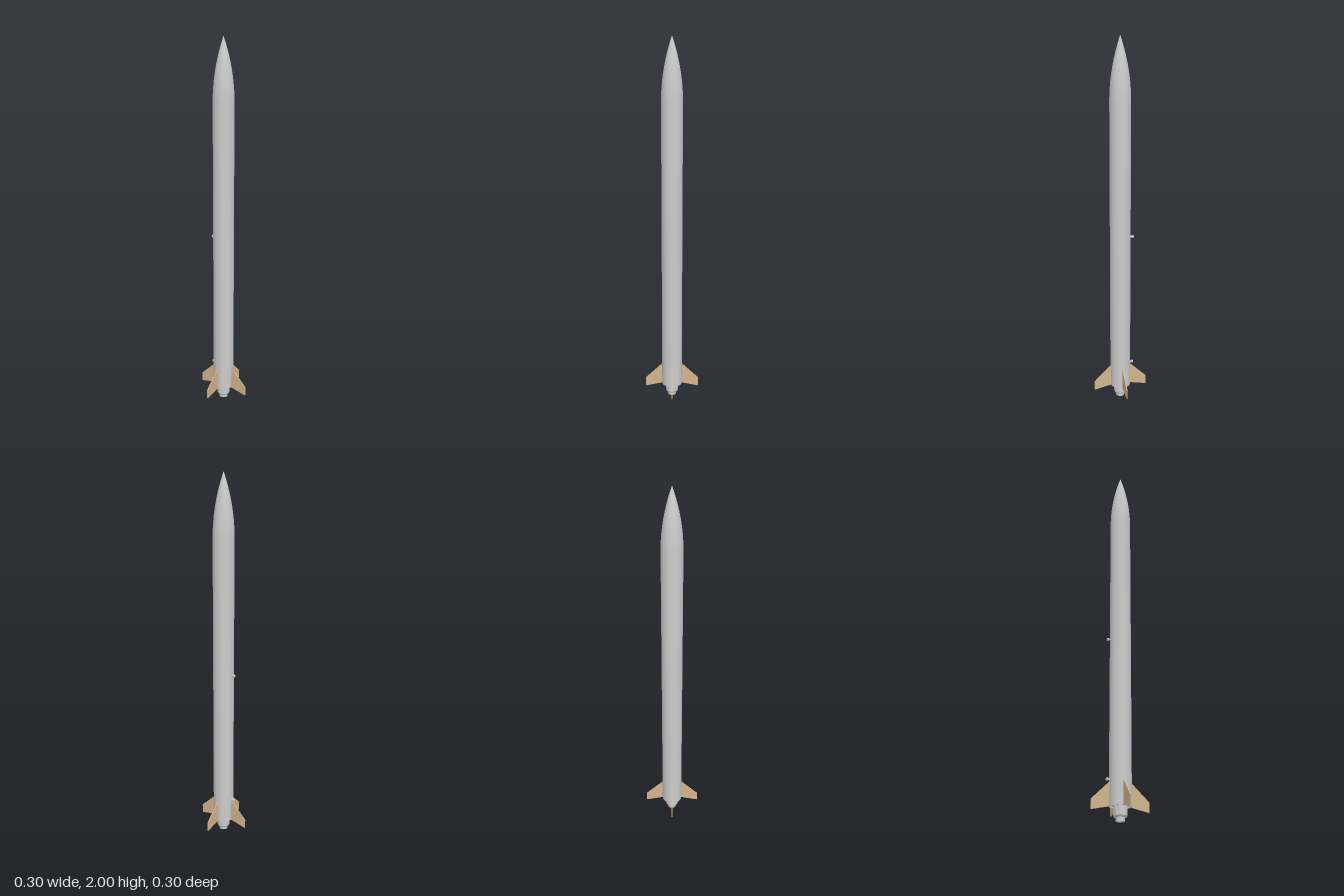
import * as THREE from 'three';
import { toCreasedNormals } from 'three/addons/utils/BufferGeometryUtils.js';

const grey = new THREE.MeshStandardMaterial({ color: 0xcccccc });
const wood = new THREE.MeshStandardMaterial({ color: 0xd2b48c });

const R = 0.056; // body radius
const BASE = 0.07; // aft end of the body tube
const SHOULDER = 1.67; // where the nose begins

// Surface of revolution about y, with hard edges kept sharp
function turned(name, points, segments = 48) {
  const profile = points.map(([r, y]) => new THREE.Vector2(r, y));
  const geometry = toCreasedNormals(new THREE.LatheGeometry(profile, segments), 0.5);
  const mesh = new THREE.Mesh(geometry, grey);
  mesh.name = name;
  return mesh;
}

// Tangent ogive from the shoulder to the tip
function ogive(steps = 20) {
  const length = 2 - SHOULDER;
  const rho = (R * R + length * length) / (2 * R);
  return Array.from({ length: steps + 1 }, (_, i) => {
    const h = (length * i) / steps;
    return [Math.max(0, Math.sqrt(rho * rho - h * h) + R - rho), SHOULDER + h];
  });
}

export function createModel() {
  const rocket = new THREE.Group();
  rocket.name = 'rocket';

  // Body tube with a recessed aft closure
  rocket.add(turned('bodyTube', [
    [0, BASE + 0.01], [R - 0.003, BASE + 0.01], [R - 0.003, BASE], [R, BASE], [R, SHOULDER],
  ]));
  rocket.add(turned('noseCone', ogive()));

  // Motor retainer and nozzle
  rocket.add(turned('motorRetainer', [
    [0.022, 0.02], [0.031, 0.02], [0.035, 0.027], [0.035, BASE + 0.012],
  ]));
  rocket.add(turned('nozzle', [
    [0, 0.035], [0.008, 0.022], [0.016, 0], [0.023, 0], [0.023, 0.024],
  ]));

  // Four swept fins
  const outline = new THREE.Shape([
    [R - 0.002, BASE], [0.15, 0.05], [0.15, 0.1], [R - 0.002, 0.192],
  ].map(([x, y]) => new THREE.Vector2(x, y)));
  const thickness = 0.005;
  const finGeometry = new THREE.ExtrudeGeometry(outline, { depth: thickness, bevelEnabled: false });
  finGeometry.translate(0, 0, -thickness / 2);
  for (let i = 0; i < 4; i++) {
    const fin = new THREE.Mesh(finGeometry, wood);
    fin.name = `fin${i + 1}`;
    fin.rotation.y = (i * Math.PI) / 2;
    rocket.add(fin);
  }

  // Two spool-shaped rail buttons on the right side
  [0.2, 0.945].forEach((y, i) => {
    const button = turned(`railButton${i + 1}`, [
      [0.007, 0], [0.007, 0.004], [0.005, 0.004], [0.005, 0.009],
      [0.008, 0.009], [0.008, 0.019], [0, 0.019],
    ], 20);
    button.rotation.z = Math.PI / 2;
    button.position.set(-R + 0.001, y, 0);
    rocket.add(button);
  });

  return rocket;
}
